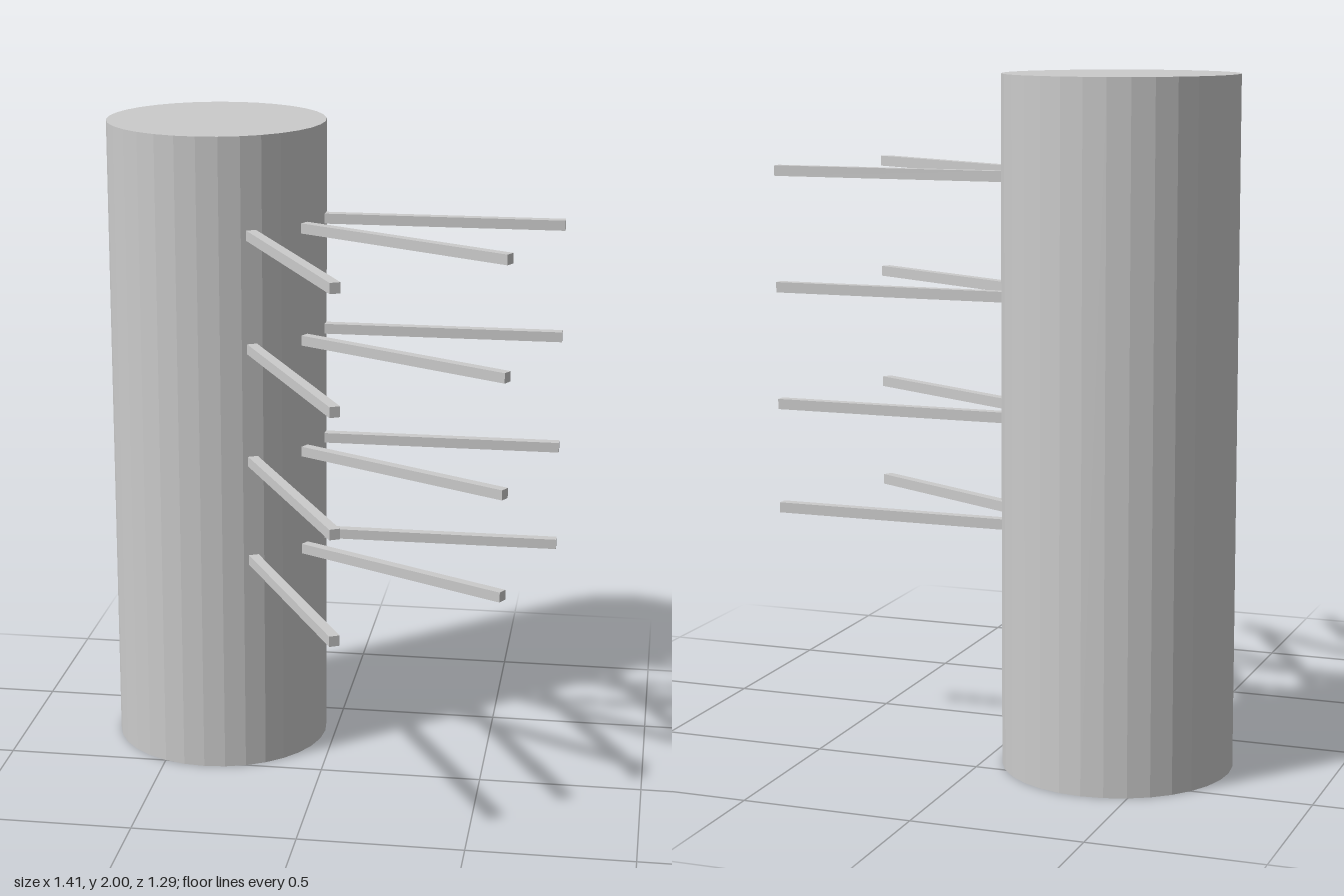
import * as THREE from 'three';

export function createModel() {
  const model = new THREE.Group();
  const material = new THREE.MeshStandardMaterial({ color: 0xcccccc, flatShading: true });
  const radius = 0.337, reach = 1.071, thickness = 0.031;

  // Upright column, with all rods radiating from its axis
  const post = new THREE.Group();
  post.name = 'postWithRods';
  post.position.set(-0.37, 0, -0.311);
  model.add(post);

  const column = new THREE.Mesh(new THREE.CylinderGeometry(radius, radius, 2, 32), material);
  column.name = 'column';
  column.position.y = 1;
  post.add(column);

  // Square rods: four levels, three directions each
  const start = radius - 0.004;
  const rodGeometry = new THREE.BoxGeometry(reach - start, thickness, thickness);
  rodGeometry.translate((reach + start) / 2, 0, 0);
  for (const y of [0.686, 1.003, 1.356, 1.703]) {
    const level = new THREE.Group();
    level.name = 'rodLevel';
    level.position.y = y;
    for (const degrees of [0, 28.4, 62]) {
      const rod = new THREE.Mesh(rodGeometry, material);
      rod.name = 'rod';
      rod.rotation.y = -THREE.MathUtils.degToRad(degrees);
      level.add(rod);
    }
    post.add(level);
  }
  return model;
}
